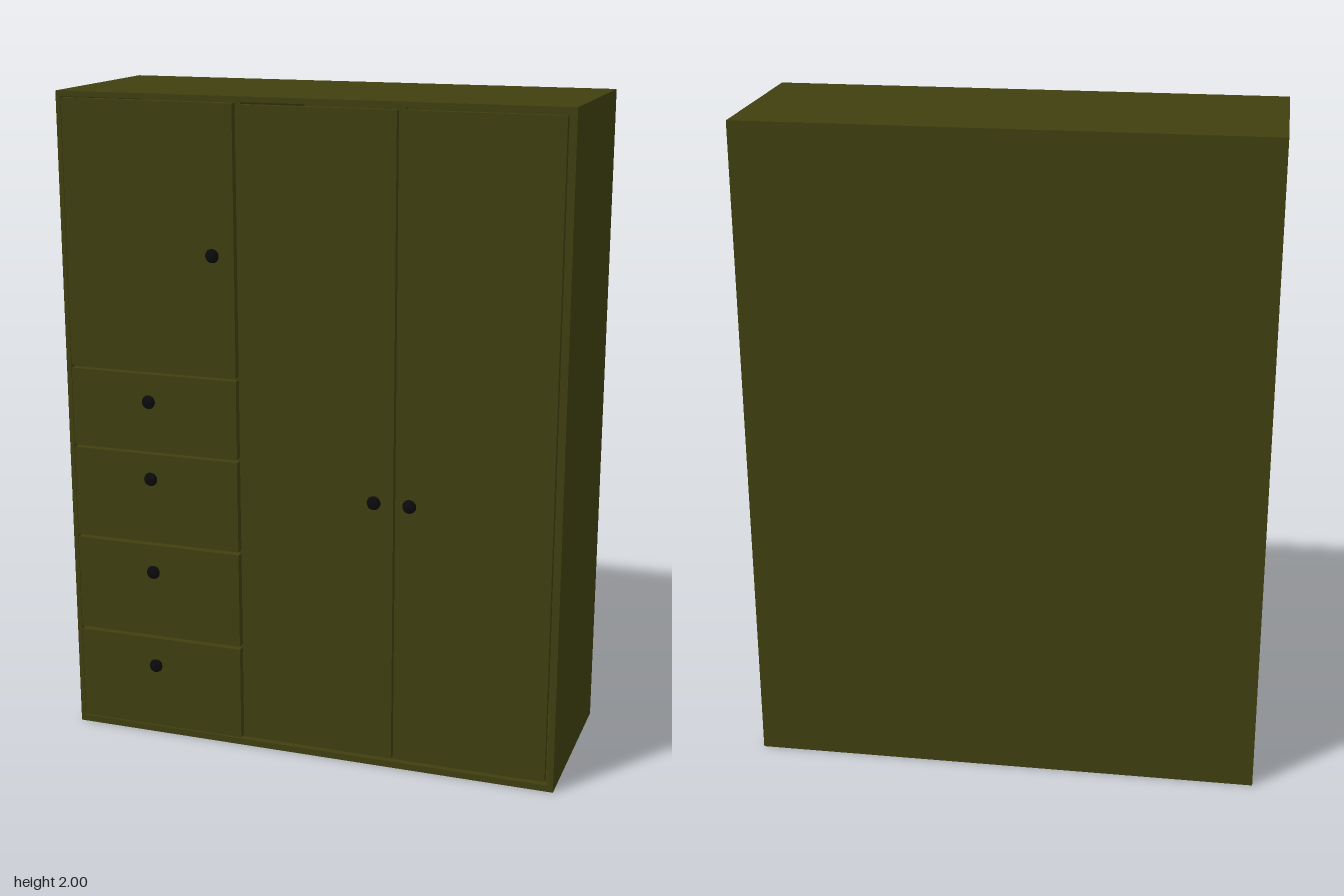
import * as THREE from 'three';

const wood = new THREE.MeshStandardMaterial({ color: 0x3f3f10 });
const black = new THREE.MeshStandardMaterial({ color: 0x0b0b0d });

// Box given by its minimum and maximum corners
function board(name, [x0, x1], [y0, y1], [z0, z1]) {
  const mesh = new THREE.Mesh(new THREE.BoxGeometry(x1 - x0, y1 - y0, z1 - z0), wood);
  mesh.name = name;
  mesh.position.set((x0 + x1) / 2, (y0 + y1) / 2, (z0 + z1) / 2);
  return mesh;
}

// Turned knob: slim stem and flattened round head, axis along +z
const knobProfile = [
  [0.009, 0], [0.009, 0.01], [0.011, 0.013], [0.018, 0.017], [0.021, 0.023],
  [0.019, 0.029], [0.013, 0.034], [0, 0.036],
].map(([r, h]) => new THREE.Vector2(r, h));
const knobGeometry = new THREE.LatheGeometry(knobProfile, 24).rotateX(Math.PI / 2);

function knob(name, x, y) {
  const mesh = new THREE.Mesh(knobGeometry, black);
  mesh.name = name;
  mesh.position.set(x, y, 0.27);
  return mesh;
}

export function createModel() {
  const model = new THREE.Group();
  model.name = 'wardrobe';
  const W = 0.77, back = -0.307, front = 0.268, inner = 0.248;
  const wall = 0.0145;

  // Carcass
  const carcass = new THREE.Group();
  carcass.name = 'carcass';
  carcass.add(
    board('rightSide', [-W, -W + wall], [0, 2], [back, front]),
    board('leftSide', [W - 0.02, W], [0, 2], [back, front]),
    board('topBoard', [-W + wall, W - 0.02], [1.984, 2], [back, front]),
    board('bottomBoard', [-W + wall, W - 0.02], [0, 0.02], [back, front]),
    board('backBoard', [-W + wall, W - 0.02], [0.02, 1.984], [back, back + 0.015]),
    board('divider', [-0.22, -0.2], [0.02, 1.984], [back + 0.015, inner]),
    board('doorStop', [0.26, 0.29], [0.02, 1.984], [inner - 0.02, inner]),
  );
  // Shelves behind the gaps between the drawers
  for (const y of [0.325, 0.633, 0.925, 1.175]) {
    carcass.add(board('drawerShelf', [-W + wall, -0.22], [y - 0.01, y + 0.01], [back + 0.015, inner]));
  }
  model.add(carcass);

  // Tall doors
  model.add(
    board('middleDoor', [-0.205, 0.27], [0.03, 1.977], [inner, front]),
    board('leftDoor', [0.28, 0.744], [0.03, 1.977], [inner, front]),
    knob('middleDoorKnob', 0.218, 0.848),
    knob('leftDoorKnob', 0.326, 0.848),
  );

  // Cupboard door above the drawers, slightly proud of the frame
  const column = [-0.752, -0.216], proud = [inner, 0.272];
  model.add(
    board('cupboardDoor', column, [1.18, 1.98], proud),
    knob('cupboardKnob', -0.275, 1.545),
  );

  // Drawers
  const drawers = [[0.026, 0.32, 0.238], [0.33, 0.628, 0.548], [0.638, 0.92, 0.848], [0.93, 1.17, 1.09]];
  for (const [y0, y1, knobY] of drawers) {
    const drawer = new THREE.Group();
    drawer.name = 'drawer';
    drawer.add(board('drawerFront', column, [y0, y1], proud), knob('drawerKnob', -0.49, knobY));
    model.add(drawer);
  }
  return model;
}
